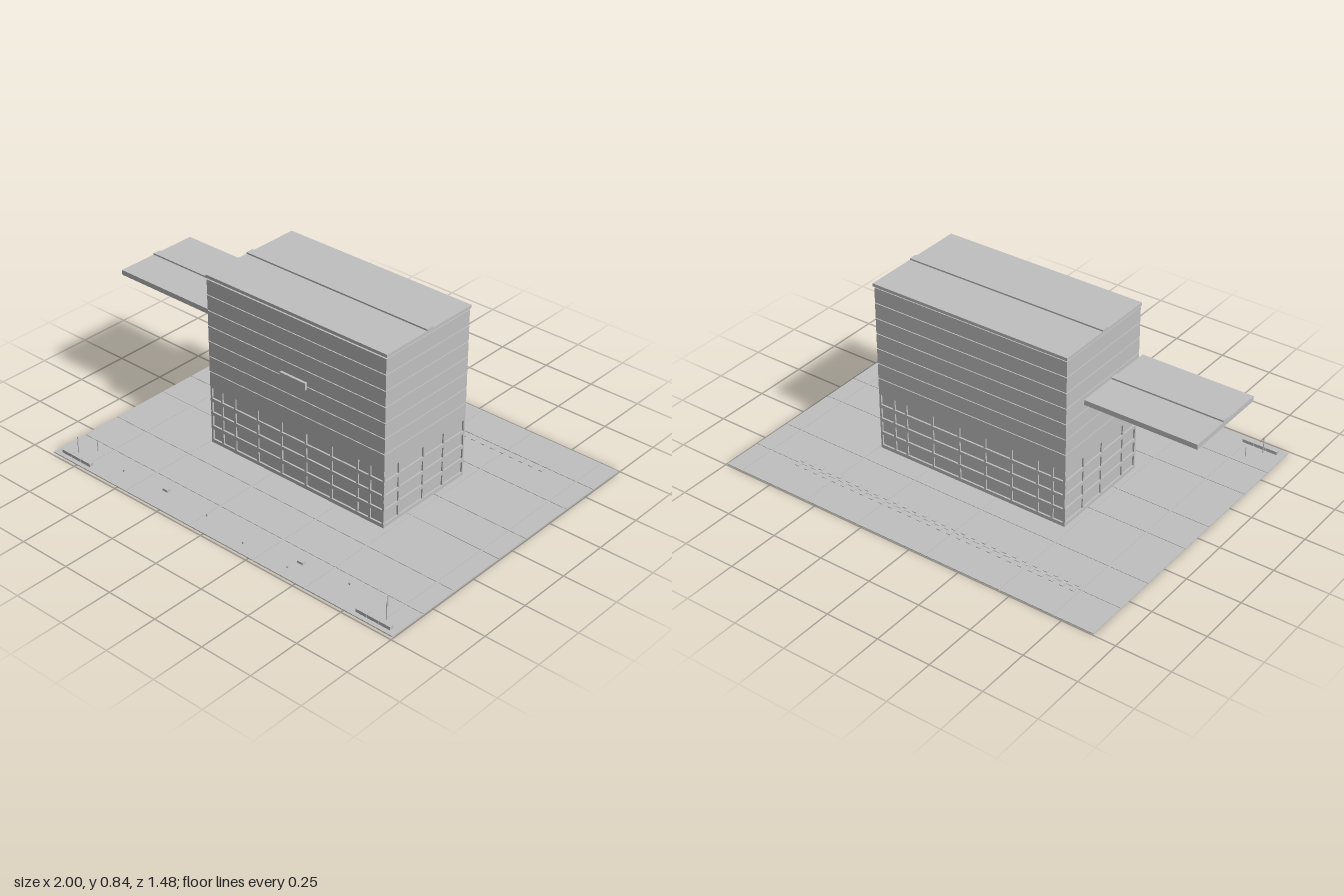
import * as THREE from 'three';

const concrete = new THREE.MeshStandardMaterial({ color: 0xc0c0c0 });
concrete.name = 'pale grey concrete';

// Box given by its limits on each axis
function block(parent, name, x0, x1, y0, y1, z0, z1) {
  const mesh = new THREE.Mesh(new THREE.BoxGeometry(x1 - x0, y1 - y0, z1 - z0), concrete);
  mesh.position.set((x0 + x1) / 2, (y0 + y1) / 2, (z0 + z1) / 2);
  mesh.name = name;
  parent.add(mesh);
  return mesh;
}

function group(parent, name) {
  const g = new THREE.Group();
  g.name = name;
  parent.add(g);
  return g;
}

// Flat roof in two halves with a raised strip along the joint
function roof(parent, name, x0, x1, y0, y1, z0, z1) {
  const g = group(parent, name);
  block(g, 'frontRoofSlab', x0, x1, y0, y1 - 0.004, 0, z1);
  block(g, 'rearRoofSlab', x0, x1, y0, y1 - 0.004, z0, 0);
  block(g, 'roofStrip', x0, x1, y1 - 0.004, y1 + 0.003, -0.037, 0);
}

export function createModel() {
  const model = new THREE.Group();
  model.name = 'officeBuilding';

  // Paved ground: base sheet with slabs separated by narrow joints
  const ground = group(model, 'ground');
  block(ground, 'groundBase', -0.895, 0.995, 0, 0.002, -0.745, 0.735);
  const xs = [-0.895, -0.71, -0.45, -0.08, 0.275, 0.55, 0.91, 0.995];
  const zs = [-0.745, -0.56, -0.37, -0.095, 0.085, 0.365, 0.555, 0.735];
  const j = 0.003;
  for (let i = 0; i < xs.length - 1; i++) {
    for (let k = 0; k < zs.length - 1; k++) {
      block(ground, 'pavingSlab',
        xs[i] + (i ? j : 0), xs[i + 1] - (i < xs.length - 2 ? j : 0), 0.002, 0.004,
        zs[k] + (k ? j : 0), zs[k + 1] - (k < zs.length - 2 ? j : 0));
    }
  }

  // Row of paired floor plates behind the building
  const plates = group(model, 'floorPlates');
  for (let i = 0; i < 29; i++) {
    const x = -0.68 + i * 0.051;
    block(plates, 'floorPlate', x - 0.01, x + 0.01, 0.004, 0.007, -0.582, -0.56);
    block(plates, 'floorPlate', x - 0.01, x + 0.01, 0.004, 0.007, -0.547, -0.525);
  }

  // Main tower: recessed core with storeys parted by thin joints
  const X0 = -0.43, X1 = 0.533, Z0 = -0.275, Z1 = 0.242;
  const tower = group(model, 'tower');
  block(tower, 'core', X0 + 0.008, X1 - 0.008, 0.016, 0.818, Z0 + 0.008, Z1 - 0.008);
  const pitch = 0.0735;
  for (let i = 0; i < 7; i++) {
    const y = 0.297 + i * pitch;
    block(tower, 'storey', X0, X1, y + 0.002, Math.min(y + pitch - 0.002, 0.812), Z0, Z1);
  }

  // Lower storeys: floor bands with window posts in front of the recessed core
  const lower = group(model, 'windowStoreys');
  for (let i = 0; i < 5; i++) {
    const y = 0.016 + i * 0.0685;
    block(lower, 'floorBand', X0, X1, y, y + 0.017, Z0, Z1);
  }
  const p = 0.005;
  const posts = [X0 + p, -0.365, -0.29, -0.16, -0.025, 0.11, 0.25, 0.39, 0.455, X1 - p];
  for (const x of posts) {
    block(lower, 'frontPost', x - p, x + p, 0.016, 0.3, Z1 - 0.01, Z1 - 0.001);
    block(lower, 'rearPost', x - p, x + p, 0.016, 0.3, Z0 + 0.001, Z0 + 0.01);
  }
  for (const z of [Z0 + p, -0.14, -0.01, 0.145, Z1 - p]) {
    block(lower, 'rightPost', X0 + 0.001, X0 + 0.01, 0.016, 0.3, z - p, z + p);
    block(lower, 'leftPost', X1 - 0.01, X1 - 0.001, 0.016, 0.3, z - p, z + p);
  }

  // Framed panel on the front wall
  block(model, 'wallPanel', -0.018, 0.122, 0.505, 0.538, Z1, 0.254);

  // Tower roof and the separate side canopy
  roof(model, 'towerRoof', -0.434, 0.537, 0.817, 0.835, -0.28, 0.243);
  roof(model, 'sideCanopy', -1, -0.48, 0.605, 0.632, -0.225, 0.19);

  // Benches and lamp posts at the two front corners
  for (const [x0, x1, tall, short] of [[-0.862, -0.69, -0.806, -0.758], [0.792, 0.965, 0.912, 0.862]]) {
    const corner = group(model, 'cornerFurniture');
    const w = (x1 - x0) / 3;
    for (let i = 0; i < 3; i++) {
      block(corner, 'bench', x0 + i * w + 0.001, x0 + (i + 1) * w - 0.001, 0.004, 0.019, 0.692, 0.714);
    }
    for (const [x, z, h] of [[tall, 0.672, 0.088], [short, 0.605, 0.053]]) {
      const post = new THREE.Mesh(new THREE.CylinderGeometry(0.002, 0.002, h, 8), concrete);
      post.position.set(x, h / 2, z);
      post.name = 'lampPost';
      corner.add(post);
    }
  }

  // Small ground boxes and studs on the forecourt
  for (const x of [-0.325, 0.43]) {
    block(model, 'groundBox', x - 0.014, x + 0.014, 0.004, 0.014, 0.612, 0.63);
  }
  for (const [x, z] of [[-0.56, 0.64], [-0.07, 0.64], [0.17, 0.68], [0.41, 0.68], [0.665, 0.6]]) {
    block(model, 'groundStud', x - 0.003, x + 0.003, 0.004, 0.013, z - 0.003, z + 0.003);
  }

  return model;
}
